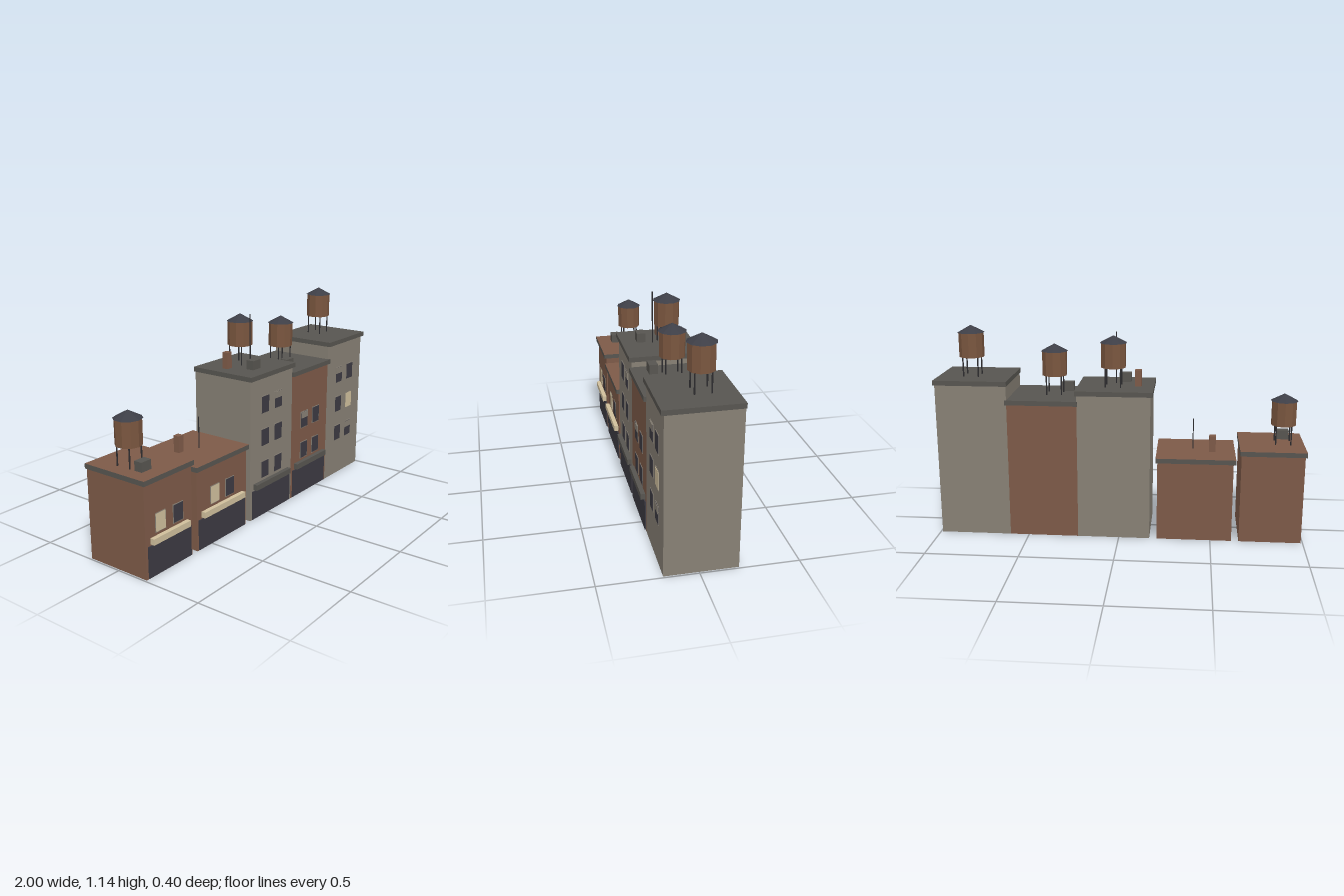
import * as THREE from 'three';

const mat = (name, color, flatShading = false) => {
  const m = new THREE.MeshStandardMaterial({ color });
  m.name = name;
  m.flatShading = flatShading;
  return m;
};

export function createModel() {
  const brick = mat('brick', 0x7d5a48);
  const stone = mat('stone', 0x878075);
  const trim = mat('darkTrim', 0x575550);
  const glass = mat('darkGlass', 0x3c3a42);
  const cream = mat('cream', 0xcfbf9c);
  const wood = mat('tankWood', 0x7a563f, true);
  const cap = mat('tankRoof', 0x3d3e46, true);
  const iron = mat('iron', 0x2e2d30);

  const BACK = -0.197, FRONT = 0.176;
  const model = new THREE.Group();
  model.name = 'streetRow';

  const add = (parent, name, geometry, material, x, y, z) => {
    const m = new THREE.Mesh(geometry, material);
    m.name = name;
    m.position.set(x, y, z);
    parent.add(m);
    return m;
  };
  // Box given by its min and max corners
  const box = (parent, name, material, x0, x1, y0, y1, z0, z1) =>
    add(parent, name, new THREE.BoxGeometry(x1 - x0, y1 - y0, z1 - z0), material,
      (x0 + x1) / 2, (y0 + y1) / 2, (z0 + z1) / 2);

  // Framed window; kind: 'd' dark, 'l' lit, 'b' dark with a half-drawn blind
  const addWindow = (parent, x, y, kind) => {
    const g = new THREE.Group();
    g.name = 'window';
    parent.add(g);
    box(g, 'windowFrame', stone, x - 0.037, x + 0.037, y - 0.05, y + 0.05, FRONT - 0.003, FRONT + 0.002);
    box(g, 'windowPane', kind === 'l' ? cream : glass,
      x - 0.033, x + 0.033, y - 0.046, y + 0.046, FRONT - 0.002, FRONT + 0.004);
    if (kind === 'b')
      box(g, 'windowBlind', stone, x - 0.033, x + 0.033, y + 0.01, y + 0.046, FRONT, FRONT + 0.006);
  };

  // Water tank on four legs
  const addTank = (parent, x, roofY, z) => {
    const g = new THREE.Group();
    g.name = 'waterTank';
    g.position.set(x, roofY, z);
    parent.add(g);
    for (const sx of [-1, 1]) for (const sz of [-1, 1])
      add(g, 'tankLeg', new THREE.CylinderGeometry(0.004, 0.004, 0.11, 6), iron, sx * 0.041, 0.053, sz * 0.041);
    add(g, 'tankBarrel', new THREE.CylinderGeometry(0.068, 0.068, 0.135, 10), wood, 0, 0.1725, 0);
    add(g, 'tankCone', new THREE.ConeGeometry(0.074, 0.04, 10), cap, 0, 0.258, 0);
  };

  // x0/x1: walls; c0/c1: cornice; windows: rows from the bottom, one letter per column
  const buildings = [
    { x0: -0.99, x1: -0.655, c0: -1, c1: -0.648, top: 0.51, wall: brick, roof: brick,
      shop: [-0.975, -0.668], awning: [-0.955, -0.69, cream], cols: [-0.883, -0.758], rows: ['ld'], rowY: 0.271,
      tank: [-0.885, -0.01], vent: -0.892 },
    { x0: -0.615, x1: -0.208, c0: -0.628, c1: -0.198, top: 0.46, wall: brick, roof: brick,
      shop: [-0.605, -0.222], awning: [-0.58, -0.243, cream], cols: [-0.473, -0.35], rows: ['ld'], rowY: 0.271,
      chimney: -0.503, antenna: [-0.397, 0.012, 0.17] },
    { x0: -0.168, x1: 0.225, c0: -0.18, c1: 0.235, top: 0.82, wall: stone, roof: trim,
      shop: [-0.152, 0.207], awning: [-0.137, 0.19, trim], cols: [-0.035, 0.089], rows: ['dd', 'dd', 'db'], rowY: 0.27,
      tank: [0.04, -0.05], vent: -0.016, chimney: -0.094, antenna: [0.03, 0.025, 0.285] },
    { x0: 0.225, x1: 0.603, c0: 0.222, c1: 0.613, top: 0.763, wall: brick, roof: trim,
      shop: [0.242, 0.585], awning: [0.26, 0.57, trim], cols: [0.356, 0.479], rows: ['dd', 'bd'], rowY: 0.27,
      tank: [0.368, -0.005], vent: 0.307 },
    { x0: 0.603, x1: 0.99, c0: 0.6, c1: 1, top: 0.864, wall: stone, roof: trim,
      cols: [0.736, 0.86], rows: ['db', 'dl', 'bd'], rowY: 0.27, tank: [0.819, -0.035] },
  ];

  for (const b of buildings) {
    const g = new THREE.Group();
    g.name = 'building';
    model.add(g);
    const top = b.top;
    box(g, 'walls', b.wall, b.x0, b.x1, 0, top - 0.01, BACK, FRONT);
    // Cornice slab, with the roof colour on its top face
    box(g, 'cornice', [trim, trim, b.roof, trim, trim, trim], b.c0, b.c1, top - 0.026, top, -0.199, 0.19);

    b.rows.forEach((row, r) => b.cols.forEach((x, c) => addWindow(g, x, b.rowY + r * 0.186, row[c])));

    if (b.shop) {
      box(g, 'shopFront', glass, b.shop[0], b.shop[1], 0.004, 0.168, FRONT - 0.002, FRONT + 0.006);
      const [a0, a1, colour] = b.awning;
      box(g, 'awning', colour, a0, a1, 0.175, 0.207, FRONT - 0.002, 0.2);
    }
    if (b.tank) addTank(g, b.tank[0], top, b.tank[1]);
    if (b.vent !== undefined)
      box(g, 'roofVent', trim, b.vent - 0.033, b.vent + 0.033, top, top + 0.05, 0.06, 0.106);
    if (b.chimney !== undefined)
      box(g, 'chimney', brick, b.chimney - 0.018, b.chimney + 0.018, top, top + 0.09, -0.053, -0.018);
    if (b.antenna) {
      const [x, z, h] = b.antenna;
      add(g, 'antenna', new THREE.CylinderGeometry(0.003, 0.003, h, 6), iron, x, top + h / 2, z);
    }
  }
  return model;
}
